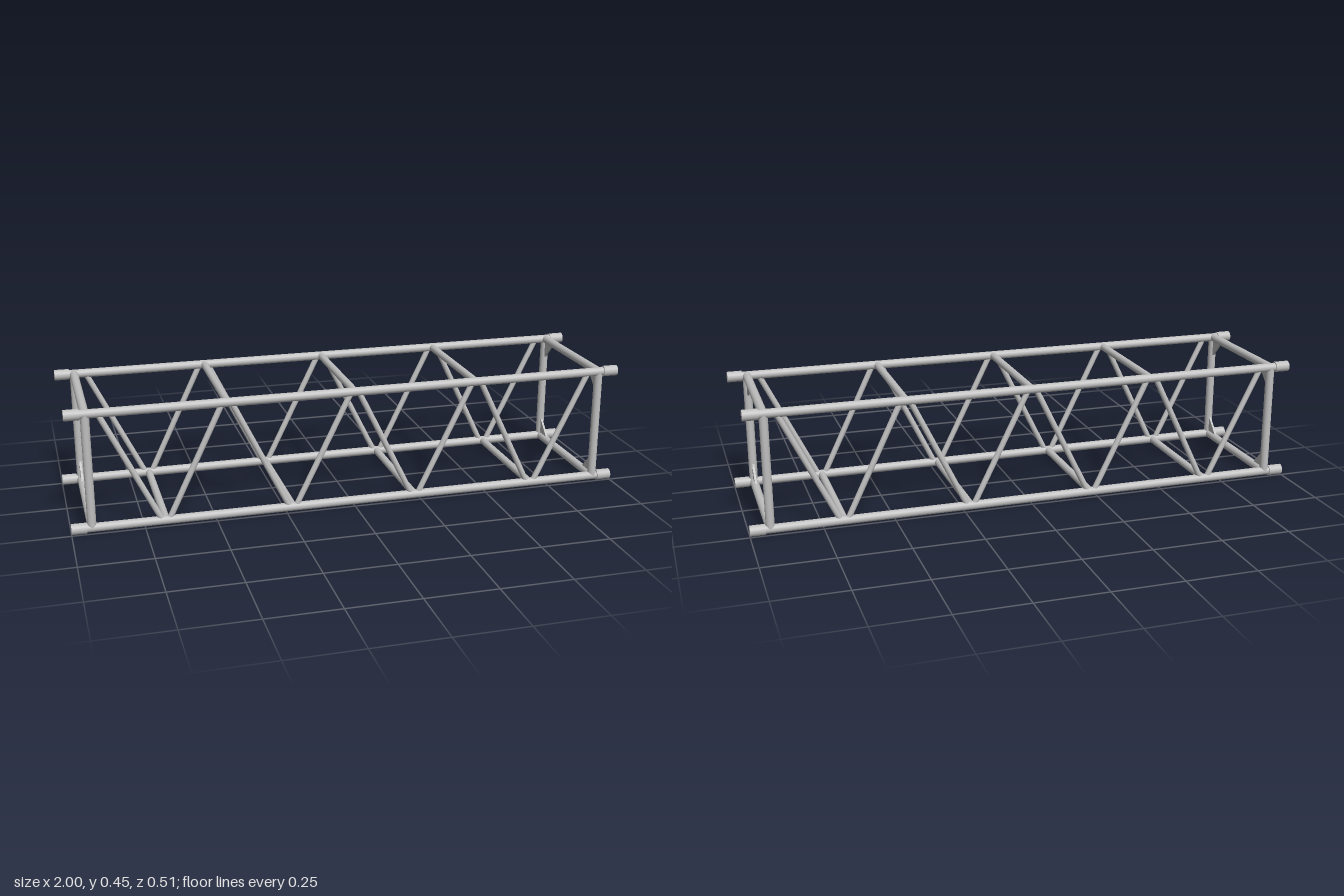
import * as THREE from 'three';

const LOW = 0.02, HIGH = 0.428, SIDE = 0.238, END = 0.93;

export function createModel() {
  const truss = new THREE.Group();
  truss.name = 'boxTruss';
  const metal = new THREE.MeshStandardMaterial({ color: 0xbfbfbf });
  metal.name = 'brushed aluminium grey';

  // Round tube between two points
  function tube(name, a, b, radius) {
    const from = new THREE.Vector3(...a), to = new THREE.Vector3(...b);
    const dir = to.clone().sub(from);
    const mesh = new THREE.Mesh(new THREE.CylinderGeometry(radius, radius, dir.length(), 24), metal);
    mesh.name = name;
    mesh.position.copy(from).add(to).multiplyScalar(0.5);
    mesh.quaternion.setFromUnitVectors(new THREE.Vector3(0, 1, 0), dir.normalize());
    truss.add(mesh);
  }

  // Four long chords with a thicker coupler sleeve at each end
  for (const y of [LOW, HIGH]) {
    for (const z of [-SIDE, SIDE]) {
      tube('chord', [-0.99, y, z], [0.99, y, z], 0.0155);
      for (const s of [-1, 1]) tube('couplerSleeve', [s * 0.947, y, z], [s, y, z], 0.0193);
    }
  }

  // End frames: posts and rails
  for (const x of [-END, END]) {
    for (const z of [-SIDE, SIDE]) tube('endPost', [x, LOW, z], [x, HIGH, z], 0.0152);
    for (const y of [LOW, HIGH]) tube('endRail', [x, y, -SIDE], [x, y, SIDE], 0.0152);
  }

  // Cross bars, staggered between the top and bottom faces
  for (const x of [-0.45, 0, 0.45]) tube('topCrossBar', [x, HIGH, -SIDE], [x, HIGH, SIDE], 0.0135);
  for (const x of [-0.677, -0.226, 0.226, 0.677]) {
    tube('bottomCrossBar', [x, LOW, -SIDE], [x, LOW, SIDE], 0.0135);
  }

  // Zigzag bracing on both sides: [top x, bottom x], mirrored about the centre
  const braces = [[0.017, 0.212], [0.473, 0.242], [0.432, 0.660 + 0.0], [0.885, 0.693]];
  braces[0] = [0.017, 0.212];
  braces[2] = [0.472, 0.662];
  braces[1] = [0.434, 0.242];
  for (const [top, bottom] of braces) {
    for (const s of [-1, 1]) {
      for (const z of [-SIDE, SIDE]) {
        tube('diagonalBrace', [s * top, HIGH - 0.008, z], [s * bottom, LOW + 0.008, z], 0.0103);
      }
    }
  }

  // Triangular gusset plates in the corners of the end frames
  const thickness = 0.008, leg = 0.08;
  for (const x of [-END, END]) {
    for (const sy of [-1, 1]) {
      for (const sz of [-1, 1]) {
        const cy = sy > 0 ? HIGH - 0.003 : LOW + 0.003, cz = sz * (SIDE - 0.003);
        // Shape axes are (-z, y) once the plate is turned to face along x
        const plate = new THREE.Shape([
          new THREE.Vector2(-cz, cy),
          new THREE.Vector2(-cz + sz * leg, cy),
          new THREE.Vector2(-cz, cy - sy * leg),
        ]);
        const geo = new THREE.ExtrudeGeometry(plate, { depth: thickness, bevelEnabled: false });
        const gusset = new THREE.Mesh(geo, metal);
        gusset.name = 'cornerGusset';
        gusset.rotation.y = Math.PI / 2;
        gusset.position.x = x - thickness / 2;
        truss.add(gusset);
      }
    }
  }
  return truss;
}
